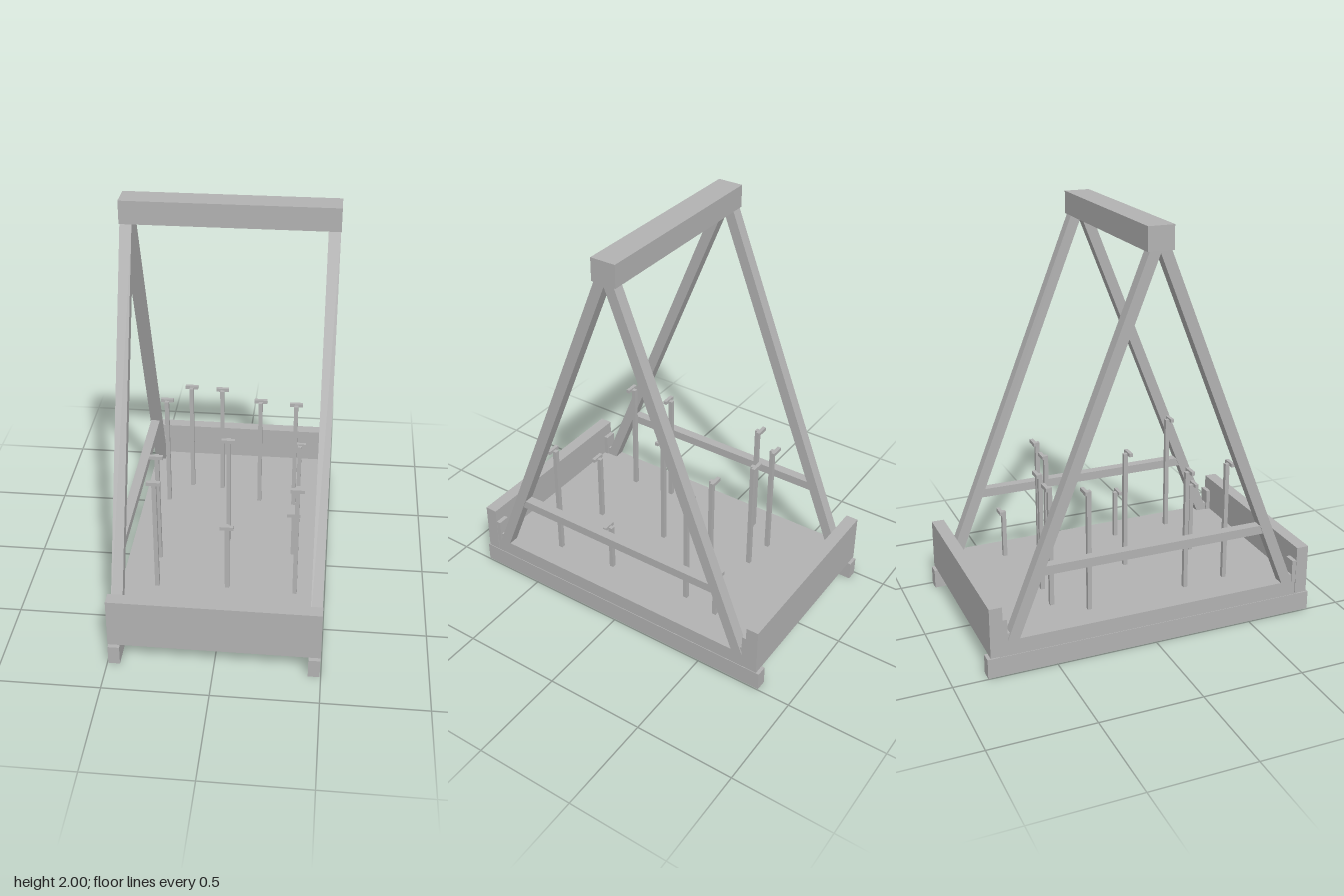
import * as THREE from 'three';

export function createModel() {
  const model = new THREE.Group();
  const grey = new THREE.MeshStandardMaterial({ color: 0xb2b2b2 });
  grey.name = 'plain grey';

  // Box given by its lower and upper corner
  function box(name, x0, x1, y0, y1, z0, z1, parent = model) {
    const mesh = new THREE.Mesh(new THREE.BoxGeometry(x1 - x0, y1 - y0, z1 - z0), grey);
    mesh.position.set((x0 + x1) / 2, (y0 + y1) / 2, (z0 + z1) / 2);
    mesh.name = name;
    parent.add(mesh);
  }

  // Side profile in (z, y), extruded along x
  function sideProfile(name, points, x0, x1) {
    const shape = new THREE.Shape(points.map(([z, y]) => new THREE.Vector2(-z, y)));
    const geo = new THREE.ExtrudeGeometry(shape, { depth: x1 - x0, bevelEnabled: false });
    geo.rotateY(Math.PI / 2);
    geo.translate(x0, 0, 0);
    const mesh = new THREE.Mesh(geo, grey);
    mesh.name = name;
    model.add(mesh);
  }

  // Ridge beam and deck
  box('ridgeBeam', -0.497, 0.497, 1.89, 2, -0.063, 0.063);
  box('deck', -0.492, 0.492, 0.09, 0.172, -0.775, 0.775);

  for (const s of [-1, 1]) {
    const [x0, x1] = s > 0 ? [0.44, 0.495] : [-0.495, -0.44];
    // Skid under each long side
    box('skid', x0, x1, 0, 0.096, -0.833, 0.833);
    // Horizontal tie between the legs
    box('crossTie', x0 + 0.004, x1 - 0.004, 0.463, 0.507, -0.575, 0.575);

    for (const e of [-1, 1]) {
      // Sloping leg
      sideProfile('leg', [[0, 1.88], [0, 1.892], [e * 0.052, 1.892], [e * 0.735, 0.172], [e * 0.678, 0.172]], x0, x1);
      // Corner block and foot stop
      const [z0, z1] = e > 0 ? [0.735, 0.758] : [-0.758, -0.735];
      box('cornerBlock', x0 - 0.005 * (s > 0), x1 + 0.005 * (s < 0), 0.17, 0.282, z0, z1);
      box('footStop', x0 + 0.006, x1 - 0.006, 0.17, 0.208, e > 0 ? 0.722 : -0.736, e > 0 ? 0.736 : -0.722);
    }
  }

  // Upright boards on the short ends
  box('frontBoard', -0.497, 0.497, 0.102, 0.35, 0.757, 0.819);
  box('backBoard', -0.497, 0.497, 0.102, 0.35, -0.819, -0.757);

  // Stakes with a crosspiece: x, z of the crosspiece, top height
  const stakes = [
    [-0.25, -0.456, 0.787], [-0.085, -0.444, 0.787], [0.33, -0.503, 0.43],
    [0.125, -0.341, 0.787], [0.31, -0.321, 0.787], [-0.36, -0.306, 0.787],
    [-0.005, 0.066, 0.787], [0.33, 0.152, 0.43], [-0.335, 0.243, 0.787],
    [-0.315, 0.466, 0.787], [0.025, 0.448, 0.545], [0.355, 0.462, 0.787],
  ];
  for (const [x, z, top] of stakes) {
    const stake = new THREE.Group();
    stake.name = 'stake';
    const inward = z < 0 ? 1 : -1;
    const pz = z + inward * 0.0185;
    box('stakePost', x - 0.0105, x + 0.0105, 0.17, top - 0.008, pz - 0.0105, pz + 0.0105, stake);
    box('stakeCrosspiece', x - 0.033, x + 0.033, top - 0.018, top, z - 0.009, z + 0.009, stake);
    model.add(stake);
  }
  return model;
}
